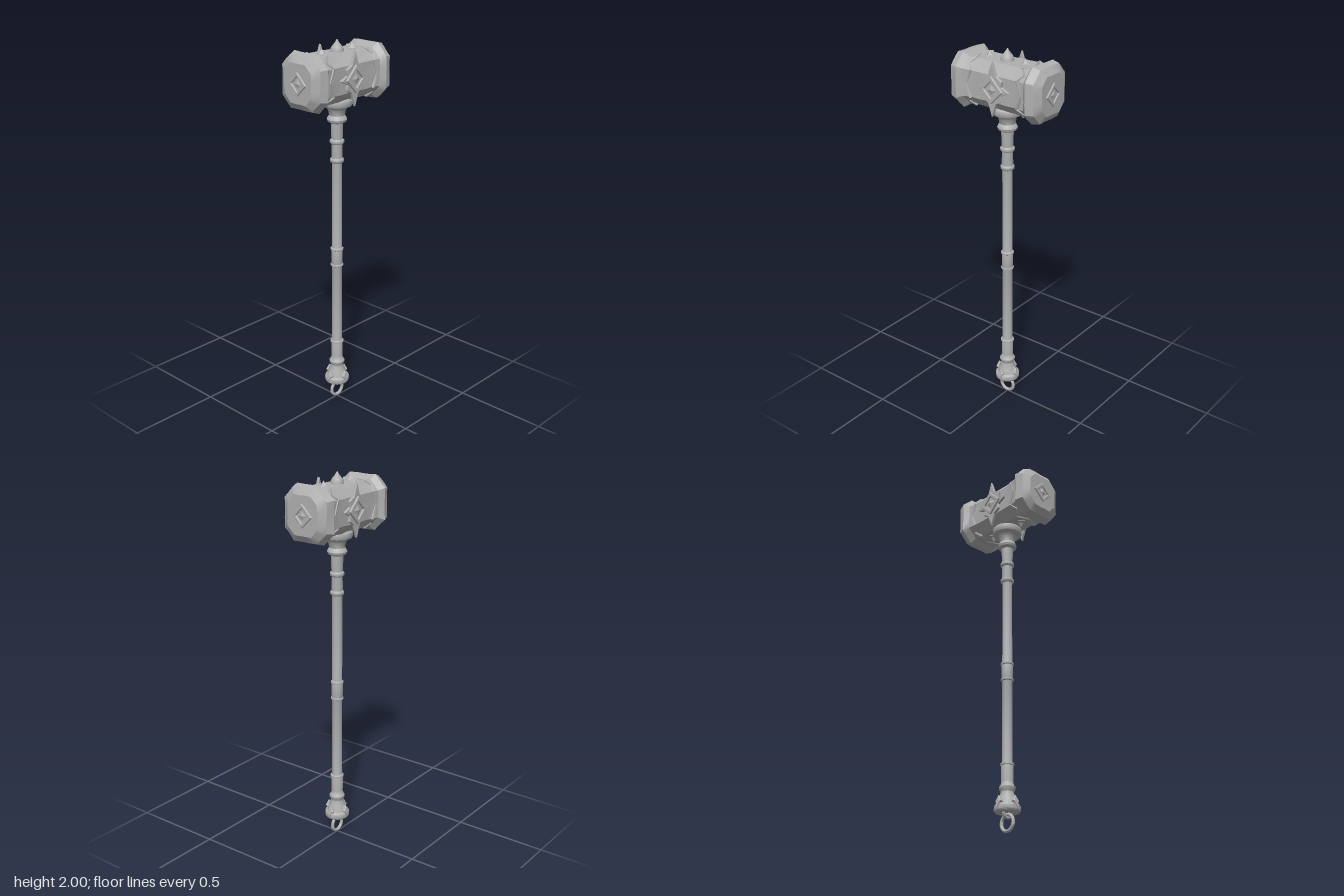
import * as THREE from 'three';
import { toCreasedNormals } from 'three/addons/utils/BufferGeometryUtils.js';

const steel = new THREE.MeshStandardMaterial({ color: 0xb0b0b0 });
steel.name = 'grey steel';
const HEAD_Y = 1.82;

function part(name, geometry, crease = 0.6) {
  const mesh = new THREE.Mesh(toCreasedNormals(geometry, crease), steel);
  mesh.name = name;
  return mesh;
}

function lathe(name, profile, segments = 16, crease = 0.7) {
  const points = profile.map(([r, y]) => new THREE.Vector2(r, y));
  return part(name, new THREE.LatheGeometry(points, segments), crease);
}

// Skin closed loops of vertices that follow one another along x
function loft(loops) {
  const n = loops[0].length, index = [];
  for (let i = 0; i < loops.length - 1; i++) {
    for (let j = 0; j < n; j++) {
      const k = (j + 1) % n;
      const a = i * n + j, b = i * n + k, c = b + n, d = a + n;
      index.push(a, b, d, b, c, d);
    }
  }
  const geo = new THREE.BufferGeometry();
  geo.setAttribute('position', new THREE.Float32BufferAttribute(loops.flat(2), 3));
  geo.setIndex(index);
  geo.computeVertexNormals();
  return geo;
}

// Unit chamfered square as [y, z] points, each side split into steps
const CORNERS = [[1, -0.57], [1, 0.57], [0.57, 1], [-0.57, 1], [-1, 0.57], [-1, -0.57], [-0.57, -1], [0.57, -1]];
function octagon(steps) {
  return CORNERS.flatMap(([y, z], i) => {
    const [y2, z2] = CORNERS[(i + 1) % 8];
    return Array.from({ length: steps }, (_, s) => [y + (y2 - y) * s / steps, z + (z2 - z) * s / steps]);
  });
}

// Head: flared striking ends and a waist with a slightly hammered surface
function headBody() {
  const half = [[0, 0.112, 0.12], [0.045, 0.112, 0.12], [0.09, 0.112, 0.12], [0.14, 0.113, 0.12],
    [0.185, 0.12, 0.122], [0.21, 0.144, 0.144], [0.25, 0.13, 0.134], [0.274, 0.092, 0.1], [0.274, 0, 0]];
  const stations = [...half.slice(1).reverse().map(([x, z, y]) => [-x, z, y]), ...half];
  const ring = octagon(3);
  return loft(stations.map(([x, hz, hy]) => ring.map(([y, z]) => {
    const dent = 1 - 0.025 * (0.5 + 0.5 * Math.sin(x * 71 + y * 5.3 + z * 8.1 + Math.sin(z * 9 - x * 40)));
    return [x, y * hy * dent, z * hz * dent];
  })));
}

// Zigzag edging that runs round the waist
function zigzagTrim() {
  const ring = octagon(2);
  const profile = [[-0.009, 0.109], [-0.006, 0.117], [0.002, 0.12], [0.007, 0.111]];
  return loft(profile.map(([dx, h]) => ring.map(([y, z], j) =>
    [(j % 2 ? 0.17 : 0.142) + dx, y * h * 1.05, z * h])));
}

function outline(points) {
  return points.map(([x, y]) => new THREE.Vector2(x, y));
}
const diamond = (w, h = w) => outline([[w, 0], [0, h], [-w, 0], [0, -h]]);

function extrude(points, depth, bevel, hole) {
  const shape = new THREE.Shape(points);
  if (hole) shape.holes.push(new THREE.Path(hole));
  return new THREE.ExtrudeGeometry(shape, {
    depth, bevelEnabled: bevel > 0, bevelSize: bevel, bevelThickness: bevel, bevelOffset: -bevel, bevelSegments: 1
  });
}

function pyramid(name, radius, height) {
  const geo = new THREE.ConeGeometry(radius, height, 4).translate(0, height / 2, 0);
  return part(name, geo, 0.1);
}

// Raised diamond frame with a pointed centre, facing +z
function diamondBoss(size, depth) {
  const group = new THREE.Group();
  group.name = 'diamondBoss';
  group.add(part('diamondBack', extrude(diamond(size * 0.95), depth * 0.35, 0), 0.1));
  group.add(part('diamondFrame', extrude(diamond(size), depth - 0.003, 0.003, diamond(size * 0.62)), 0.1));
  const point = pyramid('diamondPoint', size * 0.4, depth * 0.7);
  point.rotation.x = Math.PI / 2;
  point.position.z = depth * 0.3;
  group.add(point);
  return group;
}

// Star-shaped plate with the diamond boss on it
function faceEmblem() {
  const group = new THREE.Group();
  group.name = 'faceEmblem';
  const star = outline([[0.1, 0], [0.055, 0.022], [0.06, 0.05], [0.024, 0.07], [0, 0.138],
    [-0.024, 0.07], [-0.06, 0.05], [-0.055, 0.022], [-0.1, 0], [-0.055, -0.022], [-0.06, -0.05],
    [-0.024, -0.07], [0, -0.138], [0.024, -0.07], [0.06, -0.05], [0.055, -0.022]]);
  group.add(part('starPlate', extrude(star, 0.011, 0.002), 0.1));
  const boss = diamondBoss(0.07, 0.013);
  boss.position.z = 0.01;
  group.add(boss);
  return group;
}

function createHead() {
  const head = new THREE.Group();
  head.name = 'hammerHead';
  head.position.y = HEAD_Y;
  head.add(part('headBody', headBody(), 0.5));

  for (const side of [0, 1]) {
    const turn = side * Math.PI, s = side ? -1 : 1;
    const trim = part('zigzagTrim', zigzagTrim(), 0.3);
    trim.rotation.y = turn;
    const emblem = faceEmblem();
    emblem.rotation.y = turn;
    emblem.position.z = s * 0.111;
    const endBoss = diamondBoss(0.06, 0.011);
    endBoss.rotation.y = s * Math.PI / 2;
    endBoss.position.x = s * 0.27;
    head.add(trim, emblem, endBoss);

    // Pointed studs above and below the waist
    for (const up of [1, -1]) {
      const stud = new THREE.Group();
      stud.name = 'stud';
      const base = part('studBase', extrude(diamond(0.031), 0.008, 0.002), 0.1);
      base.rotation.x = -Math.PI / 2;
      const tip = pyramid('studTip', 0.02, 0.027);
      tip.position.y = 0.008;
      stud.add(base, tip);
      stud.position.set(s * 0.108, up * 0.113, 0);
      if (up < 0) stud.rotation.x = Math.PI;
      head.add(stud);
    }
  }
  head.add(lathe('topSpike', [[0.034, 0.108], [0.034, 0.128], [0.027, 0.142], [0.012, 0.16], [0, 0.18]], 16, 0.9));
  return head;
}

function createHandle() {
  const handle = new THREE.Group();
  handle.name = 'handle';
  handle.add(lathe('shaft', [[0.03, 0.19], [0.032, 0.34], [0.027, 0.36], [0.027, 0.79], [0.03, 0.8],
    [0.03, 0.89], [0.027, 0.9], [0.027, 1.37], [0.03, 1.4], [0.028, 1.47], [0.03, 1.5], [0.033, 1.6]], 12));

  // Rounded rings along the shaft
  for (const [y, r, h] of [[0.345, 0.036, 0.01], [0.8, 0.034, 0.008], [0.89, 0.034, 0.01],
    [1.38, 0.036, 0.015], [1.48, 0.037, 0.015]]) {
    handle.add(lathe('shaftRing', [[0.026, y - h], [r, y - h * 0.5], [r, y + h * 0.5], [0.026, y + h]], 16, 1));
  }
  handle.add(lathe('headCollar', [[0.03, 1.575], [0.048, 1.585], [0.052, 1.597], [0.046, 1.61], [0.04, 1.617],
    [0.046, 1.645], [0.056, 1.66], [0.075, 1.667], [0.081, 1.68], [0.079, 1.7], [0.06, 1.72]], 20));
  handle.add(lathe('pommel', [[0, 0.1], [0.06, 0.1], [0.066, 0.108], [0.066, 0.13], [0.06, 0.138], [0.053, 0.14],
    [0.046, 0.17], [0.034, 0.198], [0.034, 0.205], [0.041, 0.215], [0.042, 0.228], [0.033, 0.24], [0.03, 0.255]], 16));

  // Small diamonds round the pommel
  for (let i = 0; i < 4; i++) {
    const pivot = new THREE.Group();
    pivot.name = 'pommelDiamond';
    pivot.rotation.y = i * Math.PI / 2;
    const gem = part('diamond', extrude(diamond(0.019, 0.03), 0.016, 0.004), 0.1);
    gem.position.set(0, 0.145, 0.047);
    gem.rotation.x = -0.2;
    pivot.add(gem);
    handle.add(pivot);
  }

  // Hanging ring and the loop that holds it
  const loop = part('ringLoop', new THREE.TorusGeometry(0.026, 0.008, 8, 16, Math.PI), 1);
  loop.rotation.set(Math.PI, Math.PI / 2, 0);
  loop.position.y = 0.102;
  const ring = part('hangingRing', new THREE.TorusGeometry(0.041, 0.009, 10, 32), 1);
  ring.position.y = 0.05;
  handle.add(loop, ring);
  return handle;
}

export function createModel() {
  const model = new THREE.Group();
  model.name = 'warHammer';
  model.add(createHandle(), createHead());
  return model;
}
